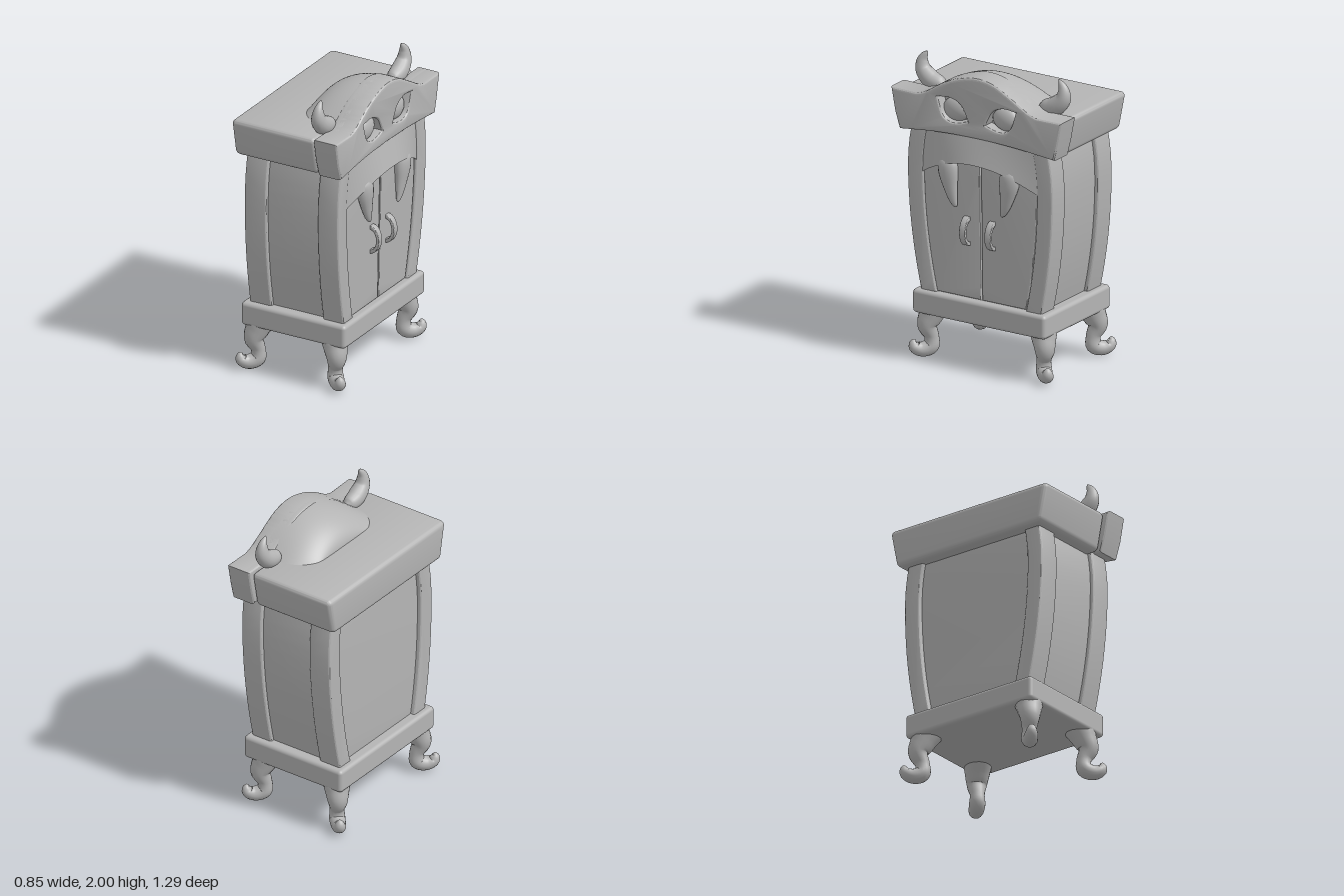
import * as THREE from 'three';
import { toCreasedNormals } from 'three/addons/utils/BufferGeometryUtils.js';
import { RoundedBoxGeometry } from 'three/addons/geometries/RoundedBoxGeometry.js';

const clay = new THREE.MeshStandardMaterial({ color: 0xb4b4b4 });
clay.name = 'clay grey';

const V2 = (p) => p.map(([x, y]) => new THREE.Vector2(x, y));

// Bulging half width of the cabinet at height y
const halfWidth = (y) => 0.547 - (y < 1.27 ? 0.14 : 0.4) * (y - 1.27) ** 2;

// Bevelled slab between two z positions
function slab(shape, z0, z1, bevel) {
  const g = new THREE.ExtrudeGeometry(shape, {
    depth: z1 - z0 - 2 * bevel, bevelThickness: bevel, bevelSize: bevel,
    bevelOffset: -bevel, bevelSegments: 3, curveSegments: 8,
  });
  g.translate(0, 0, z0 + bevel);
  return toCreasedNormals(g, 0.4);
}

// Slight forward lean of the cabinet body about y = 1
const lean = (g) => g.translate(0, -1, 0)
  .applyMatrix4(new THREE.Matrix4().makeShear(0, 0, 0, 0.018, 0, 0)).translate(0, 1, 0);

// Upright strip whose two edges follow functions of height
function strip(y0, y1, inner, outer) {
  const n = 12, a = [], b = [];
  for (let i = 0; i <= n; i++) {
    const y = y0 + ((y1 - y0) * i) / n;
    a.push([outer(y), y]);
    b.unshift([inner(y), y]);
  }
  return new THREE.Shape(V2([...a, ...b]));
}

// Tapered round sweep along [x, y, radius] points; flat scales its z thickness
function sweep(points, flat = 1, rows = 24, sides = 16) {
  const curve = new THREE.CatmullRomCurve3(points.map((p) => new THREE.Vector3(...p)));
  const pos = [], idx = [];
  for (let i = 0; i <= rows; i++) {
    const p = curve.getPoint(i / rows), t = curve.getTangent(i / rows).setZ(0).normalize();
    for (let j = 0; j < sides; j++) {
      const a = (j / sides) * Math.PI * 2, c = Math.cos(a) * p.z;
      pos.push(p.x - t.y * c, p.y + t.x * c, Math.sin(a) * p.z * flat);
      if (i === rows) continue;
      const k = i * sides + j, m = i * sides + ((j + 1) % sides);
      idx.push(k, m, k + sides, m, m + sides, k + sides);
    }
  }
  const g = new THREE.BufferGeometry();
  g.setAttribute('position', new THREE.Float32BufferAttribute(pos, 3));
  g.setIndex(idx);
  g.computeVertexNormals();
  return g;
}

// Move every vertex by a rule
function deform(g, rule) {
  const p = g.attributes.position, v = new THREE.Vector3();
  for (let i = 0; i < p.count; i++) {
    rule(v.fromBufferAttribute(p, i));
    p.setXYZ(i, v.x, v.y, v.z);
  }
  g.computeVertexNormals();
  return g;
}

// Mirrored copy across x = 0, with its winding turned over
function mirrored(g) {
  const m = g.index ? g.toNonIndexed() : g.clone();
  m.scale(-1, 1, 1);
  for (const a of [m.attributes.position, m.attributes.normal]) {
    const p = new THREE.Vector3(), q = new THREE.Vector3();
    for (let i = 0; i < a.count; i += 3) {
      p.fromBufferAttribute(a, i + 1);
      q.fromBufferAttribute(a, i + 2);
      a.setXYZ(i + 1, q.x, q.y, q.z);
      a.setXYZ(i + 2, p.x, p.y, p.z);
    }
  }
  return m;
}

// Crested outline of the head board
function boardShape() {
  const s = new THREE.Shape();
  s.moveTo(-0.58, 1.52);
  s.splineThru(V2([[-0.3, 1.55], [0, 1.56], [0.3, 1.55], [0.585, 1.525]]));
  s.lineTo(0.612, 1.63);
  s.lineTo(0.642, 1.785);
  s.lineTo(0.45, 1.785);
  s.splineThru(V2([[0.38, 1.81], [0.25, 1.885], [0.13, 1.945], [0, 1.965],
    [-0.13, 1.94], [-0.25, 1.89], [-0.38, 1.81], [-0.45, 1.785]]));
  s.lineTo(-0.645, 1.79);
  s.lineTo(-0.615, 1.63);
  s.closePath();
  return s;
}

// Slanted eye opening on side s
function eyeHole(s) {
  const h = new THREE.Path();
  h.moveTo(0.292 * s, 1.788);
  h.splineThru(V2([[0.2 * s, 1.795], [0.12 * s, 1.76], [0.068 * s, 1.665]]));
  h.splineThru(V2([[0.13 * s, 1.645], [0.2 * s, 1.642], [0.255 * s, 1.68], [0.292 * s, 1.788]]));
  return h;
}

export function createModel() {
  const model = new THREE.Group();
  const cabinet = new THREE.Group();
  cabinet.name = 'cabinet';
  cabinet.rotation.y = Math.PI / 2; // doors face +x
  model.add(cabinet);
  const add = (name, geometry, x = 0, y = 0, z = 0) => {
    const m = new THREE.Mesh(geometry, clay);
    m.name = name;
    m.position.set(x, y, z);
    cabinet.add(m);
    return m;
  };

  // Plinth and carcass
  add('plinth', new RoundedBoxGeometry(1, 0.158, 0.76, 3, 0.025), 0, 0.387, -0.015);
  const side = (y) => halfWidth(y) - 0.028;
  add('carcass', lean(slab(strip(0.44, 1.56, (y) => -side(y), side), -0.315, 0.265, 0.005)));

  // Roof block, narrower at its bottom
  const roof = new RoundedBoxGeometry(1.245, 0.26, 0.61, 4, 0.035);
  deform(roof, (v) => { v.x *= 0.96 + 0.32 * v.y; });
  add('roof', toCreasedNormals(roof, 0.5), 0, 1.646, -0.09);

  // Swelling that runs back from the crest
  const dome = new THREE.PlaneGeometry(2, 1, 28, 20);
  add('crestDome', deform(dome, (v) => {
    const u = v.x, s = Math.sin((v.y + 0.5) * Math.PI / 2);
    const h = 0.197 * Math.sqrt(Math.max(0, 1 - s * s));
    v.set(u * (0.425 - 0.135 * s ** 4), 1.765 + h * (1 - u * u) ** 1.1, 0.3 - 0.36 * s);
  }));

  // Head board with eye sockets
  const face = boardShape();
  face.holes.push(eyeHole(-1), eyeHole(1));
  add('headBoardFront', slab(face, 0.235, 0.39, 0.02));
  add('headBoardBack', slab(boardShape(), 0.218, 0.31, 0.02));

  // Upper lip, bowed forward with an arched lower edge
  const lip = new THREE.BoxGeometry(2, 1, 1, 24, 6, 1);
  add('upperLip', deform(lip, (v) => {
    const u = v.x, t = v.y + 0.5, bow = 1 - u * u;
    const low = 1.395 - 0.145 * u * u;
    const front = 0.34 + bow * (0.032 + 0.05 * (1 - t));
    v.set(0.438 * u, low + (1.57 - low) * t, 0.26 + (front - 0.26) * (v.z + 0.5));
  }));

  const post = strip(0.45, 1.56, (y) => halfWidth(y) - 0.12, halfWidth);
  const door = strip(0.468, 1.46, () => 0.005, (y) => halfWidth(y) - 0.122);
  const postFront = lean(slab(post, 0.19, 0.342, 0.016));
  const postBack = lean(slab(post, -0.345, -0.185, 0.016));
  const doorGeo = lean(slab(door, 0.24, 0.329, 0.008));
  const eye = new THREE.SphereGeometry(1, 24, 16).scale(0.1, 0.08, 0.05);
  const horn = sweep([[0.345, 1.8, 0.004], [0.385, 1.798, 0.045], [0.465, 1.815, 0.062],
    [0.527, 1.875, 0.052], [0.53, 1.94, 0.034], [0.505, 1.985, 0.014], [0.495, 2.0, 0.001]], 0.93, 30);
  const fang = sweep([[0.235, 1.41, 0.01], [0.234, 1.365, 0.06], [0.23, 1.3, 0.069],
    [0.213, 1.2, 0.05], [0.19, 1.11, 0.028], [0.172, 1.075, 0.012], [0.168, 1.07, 0.001]], 0.68);

  // Band handle bent in the y-z plane
  const arc = new THREE.Shape();
  arc.absellipse(0, 0, 0.066, 0.096, -Math.PI / 2, Math.PI / 2, false);
  arc.absellipse(0, 0, 0.045, 0.07, Math.PI / 2, -Math.PI / 2, true);
  const handle = slab(arc, -0.023, 0.023, 0.005).rotateY(-Math.PI / 2);

  // Curled foot, bending outward along local +x
  const leg = sweep([[-0.05, 0.36, 0.1], [-0.012, 0.28, 0.08], [0.014, 0.21, 0.064],
    [-0.014, 0.135, 0.047], [-0.01, 0.07, 0.052], [0.05, 0.05, 0.047],
    [0.096, 0.072, 0.038], [0.098, 0.105, 0.022], [0.088, 0.116, 0.001]], 1, 40);

  for (const s of [-1, 1]) {
    const sided = (g) => (s > 0 ? g : mirrored(g));
    add('frontPost', sided(postFront));
    add('backPost', sided(postBack));
    add('door', sided(doorGeo), -0.004);
    add('horn', sided(horn), 0, 0, 0.193);
    add('fang', sided(fang), 0, 0, 0.358);
    add('eyeball', eye, s * 0.185, 1.712, 0.32).rotation.z = -s * 0.1;
    add('doorHandle', handle, s * 0.095 - 0.008, 0.917, 0.328);
    for (const [name, z, dz] of [['frontLeg', 0.264, 1], ['backLeg', -0.32, -1]]) {
      add(name, leg, s * 0.433, 0, z).rotation.y = Math.atan2(-dz, s);
    }
  }
  return model;
}
